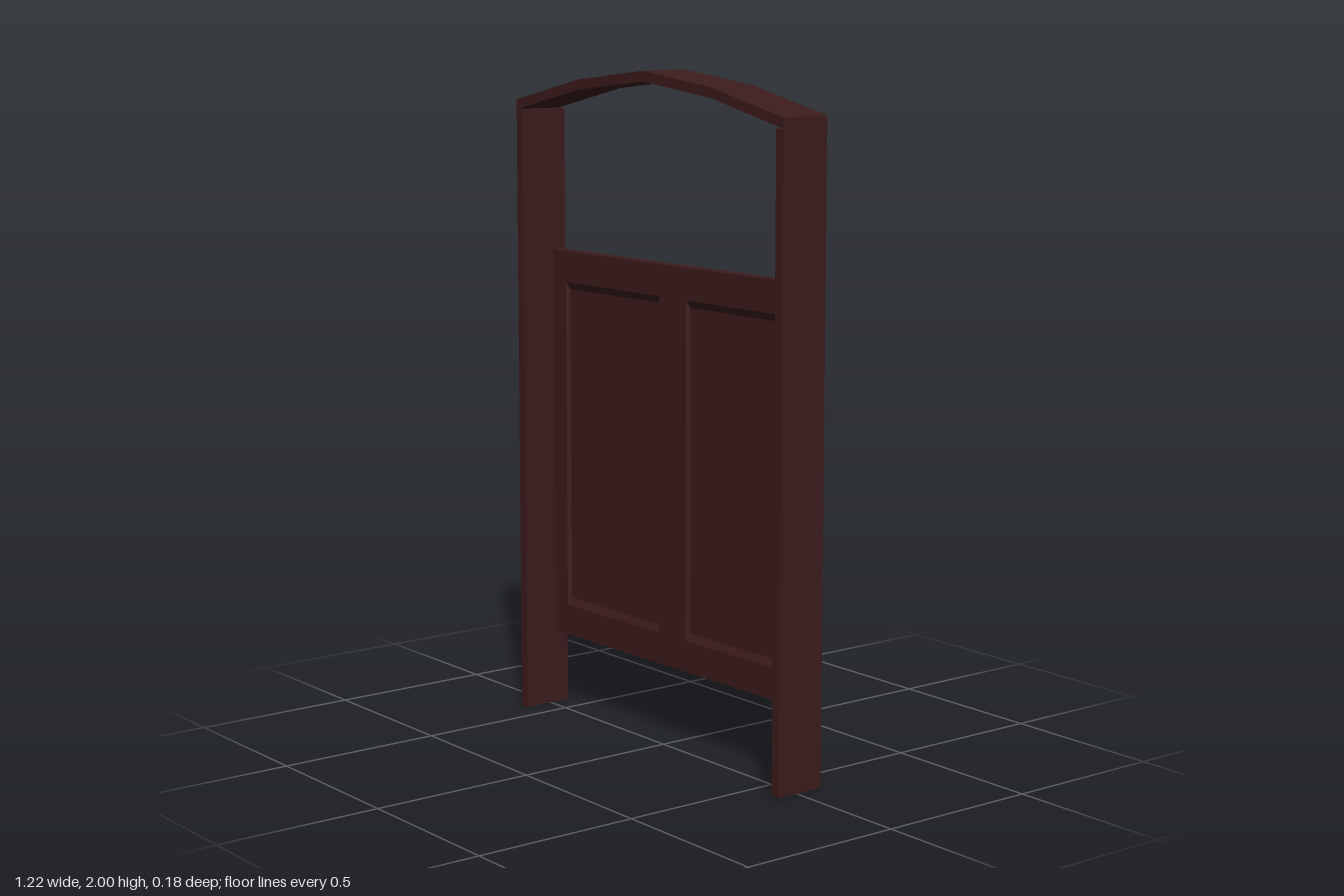
import * as THREE from 'three';

const DEPTH = 0.158;
const wood = new THREE.MeshStandardMaterial({ color: 0x3c1c1d, flatShading: true });

function addMesh(parent, name, geometry, x = 0, y = 0, z = 0) {
  const mesh = new THREE.Mesh(geometry, wood);
  mesh.name = name;
  mesh.position.set(x, y, z);
  parent.add(mesh);
  return mesh;
}

function extrude(shape, depth) {
  return new THREE.ExtrudeGeometry(shape, { depth, bevelEnabled: false }).translate(0, 0, -depth / 2);
}

// Counter-clockwise rectangle around a centre
function rect(w, h, x = 0, y = 0) {
  return [[-1, -1], [1, -1], [1, 1], [-1, 1]].map(([i, j]) => new THREE.Vector2(x + i * w / 2, y + j * h / 2));
}

// Shallow tray: sloped rim falling from the outer rectangle to a flat field
function trayGeometry(w, h, insetX, insetY, sink) {
  const positions = [];
  const index = [8, 9, 10, 8, 10, 11];
  const outer = rect(w, h);
  const inner = rect(w - 2 * insetX, h - 2 * insetY);
  outer.forEach(p => positions.push(p.x, p.y, 0));
  inner.forEach(p => positions.push(p.x, p.y, -sink));
  inner.forEach(p => positions.push(p.x, p.y, -sink));
  for (let i = 0; i < 4; i++) {
    const j = (i + 1) % 4;
    index.push(i, j, 4 + j, i, 4 + j, 4 + i);
  }
  const geometry = new THREE.BufferGeometry();
  geometry.setAttribute('position', new THREE.Float32BufferAttribute(positions, 3));
  geometry.setIndex(index);
  const flat = geometry.toNonIndexed();
  flat.computeVertexNormals();
  return flat;
}

export function createModel() {
  const model = new THREE.Group();
  model.name = 'archedDoorway';

  // Side posts
  for (const [side, name] of [[1, 'leftPost'], [-1, 'rightPost']]) {
    addMesh(model, name, new THREE.BoxGeometry(0.03, 1.865, DEPTH), side * 0.595, 0.9325, 0);
  }

  // Faceted arch across the top
  const top = [[-0.61, 1.895], [-0.305, 1.965], [0, 2], [0.305, 1.965], [0.61, 1.895]];
  const under = top.map(([x, y]) => [x, y - 0.03]).reverse();
  const archShape = new THREE.Shape([...top, ...under].map(([x, y]) => new THREE.Vector2(x, y)));
  addMesh(model, 'arch', extrude(archShape, DEPTH));

  // Door leaf near the back of the frame, with two sunken panels on each face
  const door = new THREE.Group();
  door.name = 'door';
  door.position.z = -0.054;
  model.add(door);

  const thickness = 0.04, panelW = 0.455, panelH = 1.015, panelY = 0.832;
  const leaf = new THREE.Shape(rect(1.16, 1.205, 0, 0.8325));
  for (const side of [1, -1]) {
    const x = side * 0.29;
    leaf.holes.push(new THREE.Path(rect(panelW, panelH, x, panelY).reverse()));
    for (const [face, name] of [[1, 'frontPanel'], [-1, 'backPanel']]) {
      const panel = addMesh(door, name, trayGeometry(panelW, panelH, 0.006, 0.022, 0.012),
        x, panelY, face * thickness / 2);
      if (face < 0) panel.rotation.y = Math.PI;
    }
  }
  addMesh(door, 'doorLeaf', extrude(leaf, thickness));

  // The whole piece stands at a slight angle
  model.rotation.y = 0.0185;
  return model;
}
